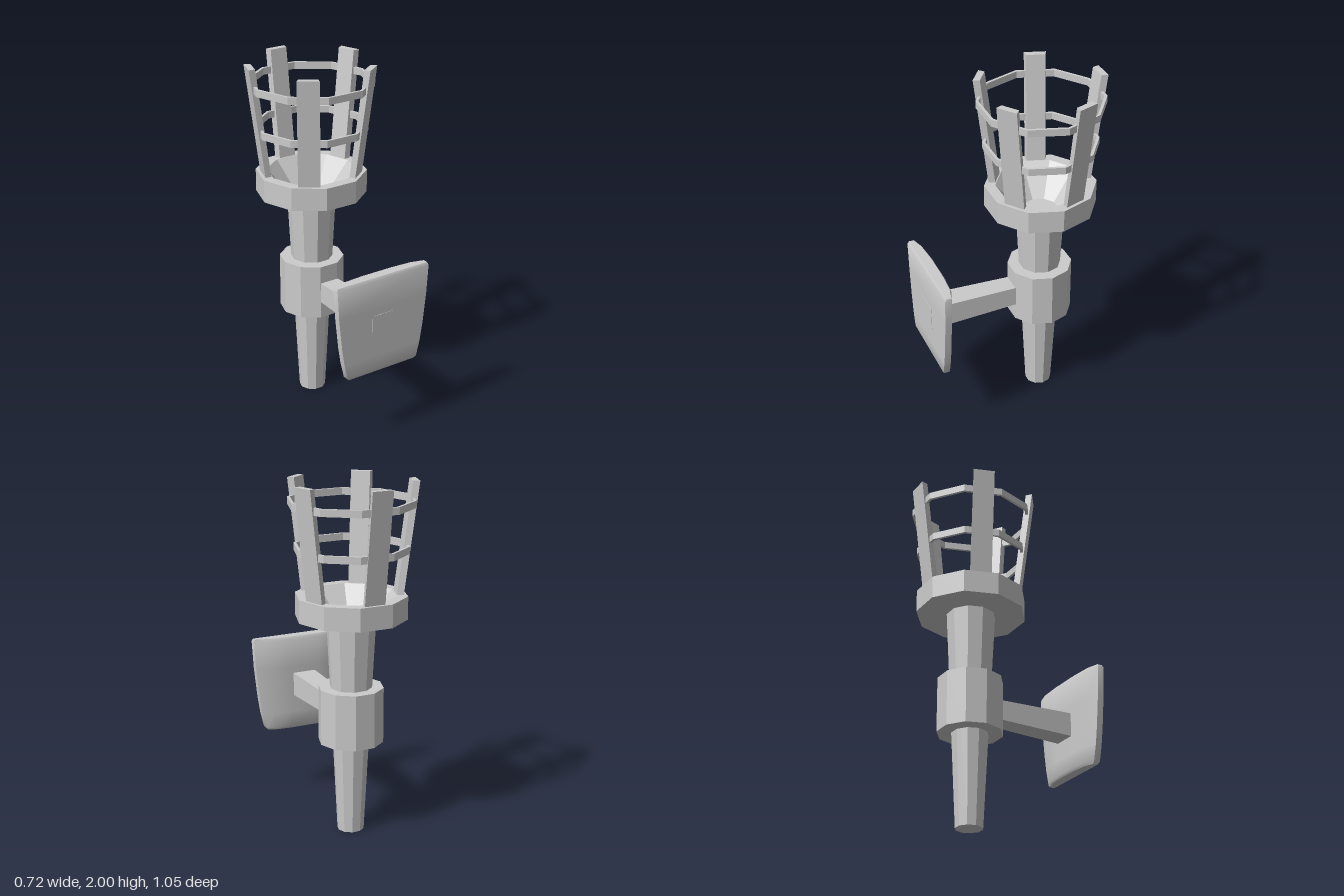
import * as THREE from 'three';
import { toCreasedNormals } from 'three/addons/utils/BufferGeometryUtils.js';

const SIDES = 10;
const flat = new THREE.MeshStandardMaterial({ color: 0xcccccc, flatShading: true });
const smooth = new THREE.MeshStandardMaterial({ color: 0xcccccc });

function mesh(name, geometry, material = flat) {
  const m = new THREE.Mesh(geometry, material);
  m.name = name;
  return m;
}

// Ten-sided turned part with corners on the x axis
function turned(name, profile) {
  const points = profile.map(([r, y]) => new THREE.Vector2(r, y));
  return mesh(name, new THREE.LatheGeometry(points, SIDES, Math.PI / 2));
}

// Closed or open skin over a stack of equal-length loops
function loft(loops) {
  const n = loops[0].length;
  const index = [];
  for (let i = 0; i < loops.length - 1; i++) {
    for (let j = 0; j < n; j++) {
      const a = i * n + j, b = i * n + (j + 1) % n;
      index.push(a, b, b + n, a, b + n, a + n);
    }
  }
  const g = new THREE.BufferGeometry();
  g.setAttribute('position', new THREE.Float32BufferAttribute(loops.flat(2), 3));
  g.setIndex(index);
  g.computeVertexNormals();
  return g;
}

// Leaning slat of the cage, wider on its outer face, built on the +z side
function slatGeometry() {
  const section = (y, inner, outer) => [
    [-0.061, y, outer], [0.061, y, outer], [0.052, y, inner], [-0.052, y, inner],
  ];
  const centre = (y, r) => Array.from({ length: 4 }, () => [0, y, r]);
  return loft([
    centre(1.37, 0.26), section(1.37, 0.242, 0.278),
    section(2, 0.322, 0.359), centre(2, 0.34),
  ]);
}

// Wall plate: bowed back, flat front, sides narrowing towards the bottom
function plateGeometry() {
  const section = [
    [-1, 0.525], [1, 0.525], [1, 0.487], [0.75, 0.46],
    [0.33, 0.449], [-0.33, 0.449], [-0.75, 0.46], [-1, 0.487],
  ];
  const zMid = 0.49;
  // height, half width, thickness factor
  const rows = [
    [0.415, 0, 0], [0.415, 0.221, 0.75], [0.43, 0.234, 1], [0.52, 0.256, 1],
    [0.62, 0.272, 1], [0.8, 0.292, 1], [0.972, 0.303, 1], [0.987, 0.298, 0.75], [0.987, 0, 0],
  ];
  const loops = rows.map(([y, w, k]) =>
    section.map(([x, z]) => [x * w, y, zMid + (z - zMid) * k]));
  return toCreasedNormals(loft(loops), 0.75);
}

export function createModel() {
  const model = new THREE.Group();
  model.name = 'wallTorch';

  // Torch body, standing behind the wall plate
  const torch = new THREE.Group();
  torch.name = 'torch';
  torch.position.set(-0.003, 0, -0.164);
  model.add(torch);

  torch.add(turned('handle', [[0, 0], [0.076, 0], [0.139, 1.25]]));
  torch.add(turned('holderSleeve', [[0.09, 0.535], [0.184, 0.535], [0.184, 0.853], [0.09, 0.853]]));
  torch.add(turned('collarBowl', [
    [0.1, 1.25], [0.312, 1.25], [0.312, 1.38], [0.25, 1.38], [0.105, 1.21], [0, 1.21],
  ]));

  // Cage: five slats and two hoops
  const slat = slatGeometry();
  for (let i = 0; i < 5; i++) {
    const s = mesh('cageSlat', slat);
    s.rotation.y = Math.PI + i * Math.PI * 2 / 5;
    torch.add(s);
  }
  for (const [y, r] of [[1.635, 0.318], [1.885, 0.351]]) {
    const inner = r - 0.016, low = y - 0.02, high = y + 0.02;
    torch.add(turned('cageHoop', [[inner, low], [r, low], [r, high], [inner, high], [inner, low]]));
  }

  // Square arm, thicker at the wall, passing through the plate
  const arm = new THREE.CylinderGeometry(0.071 * Math.SQRT2, 0.057 * Math.SQRT2, 0.577, 4, 1, false, Math.PI / 4);
  arm.rotateX(Math.PI / 2).translate(-0.001, 0.693, 0.2385);
  model.add(mesh('arm', arm));

  model.add(mesh('wallPlate', plateGeometry(), smooth));
  return model;
}
